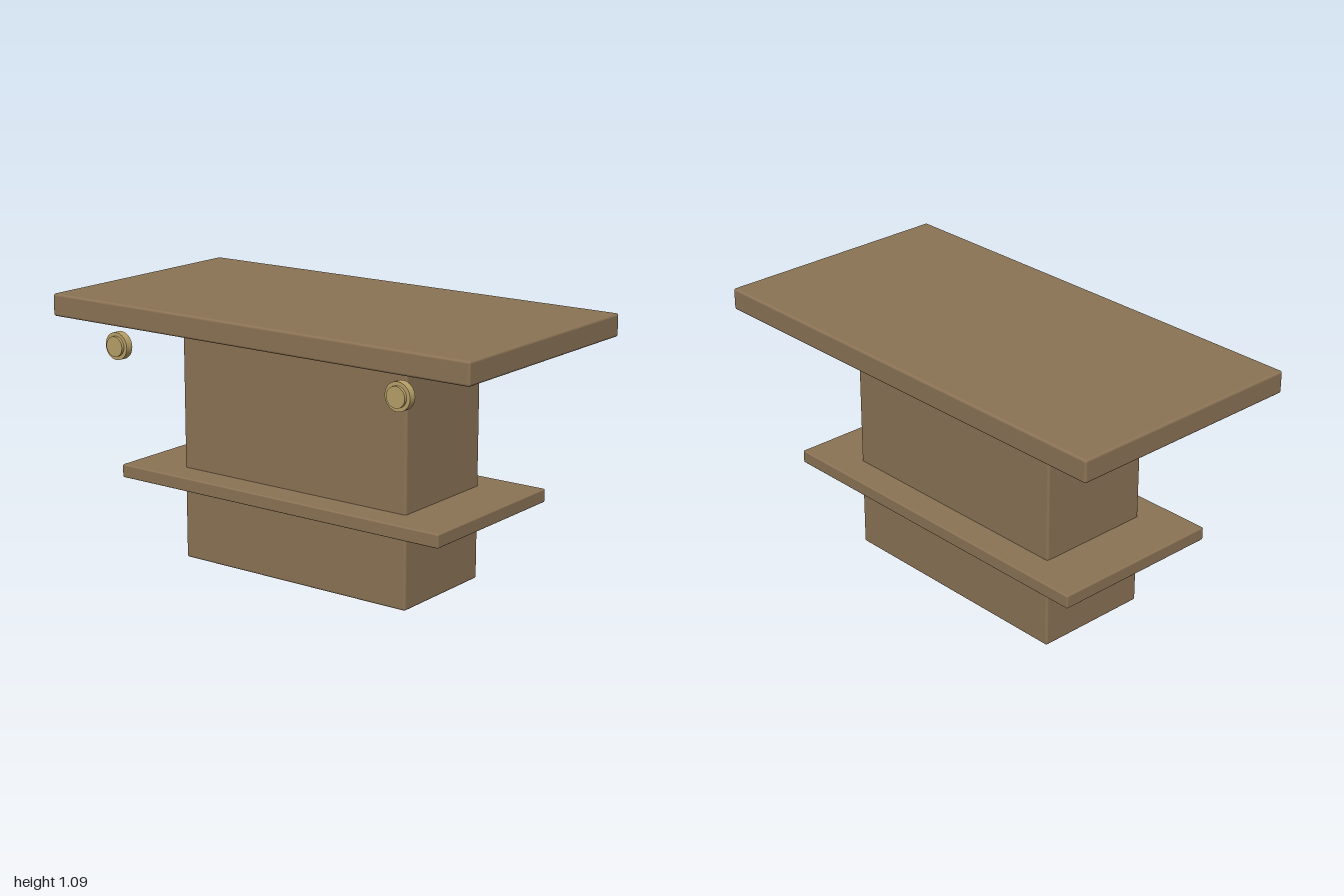
import * as THREE from 'three';
import { RoundedBoxGeometry } from 'three/addons/geometries/RoundedBoxGeometry.js';

export function createModel() {
  const model = new THREE.Group();
  model.name = 'pedestalTable';

  const wood = new THREE.MeshStandardMaterial({ color: 0x8b7355 });
  wood.name = 'brown wood';
  const brass = new THREE.MeshStandardMaterial({ color: 0xb8a068 });
  brass.name = 'pale brass';

  // Softly rounded block between two heights, centred on x and z
  function block(name, width, depth, bottom, top, radius) {
    const mesh = new THREE.Mesh(
      new RoundedBoxGeometry(width, top - bottom, depth, 3, radius), wood);
    mesh.name = name;
    mesh.position.y = (bottom + top) / 2;
    model.add(mesh);
  }
  block('pedestal', 1.096, 0.496, 0, 0.996, 0.01);
  block('shelf', 1.56, 0.744, 0.329, 0.384, 0.006);
  block('tableTop', 2, 1.034, 0.998, 1.09, 0.01);

  // Round knobs under the front edge: a wide disc with a smaller cap
  function disc(name, radius, back, front) {
    const geometry = new THREE.CylinderGeometry(radius, radius, front - back, 32);
    geometry.rotateX(Math.PI / 2);
    const mesh = new THREE.Mesh(geometry, brass);
    mesh.name = name;
    mesh.position.z = (back + front) / 2;
    return mesh;
  }
  for (const side of [-1, 1]) {
    const knob = new THREE.Group();
    knob.name = side > 0 ? 'leftKnob' : 'rightKnob';
    knob.position.set(side * 0.68, 0.913, 0);
    knob.add(disc('knobDisc', 0.056, 0.464, 0.496));
    knob.add(disc('knobCap', 0.041, 0.496, 0.508));
    model.add(knob);
  }

  return model;
}
